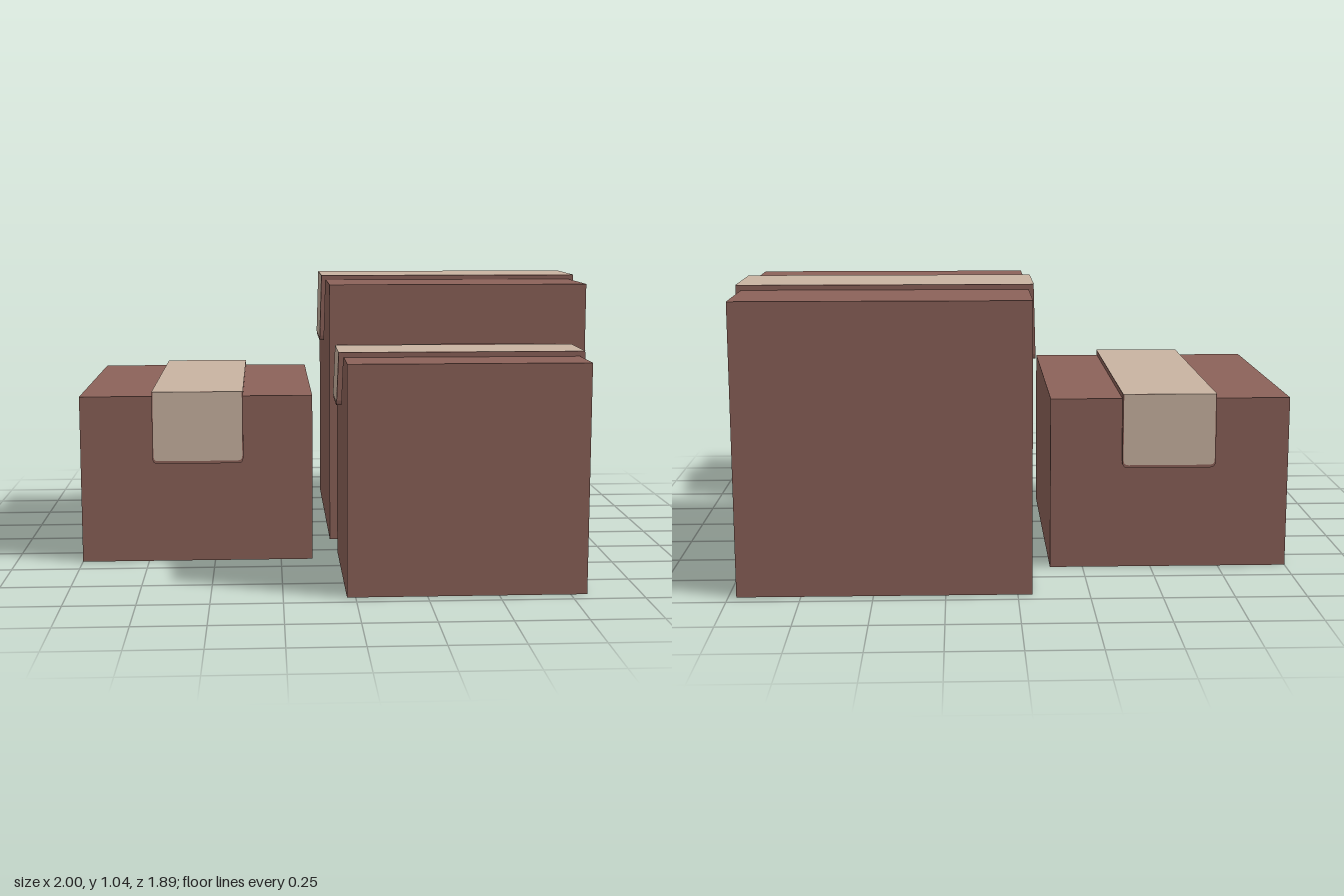
import * as THREE from 'three';

const cardboard = new THREE.MeshStandardMaterial({ color: 0x8c6259 });
cardboard.name = 'cardboard brown';
const tapeTan = new THREE.MeshStandardMaterial({ color: 0xc9b3a1 });
tapeTan.name = 'tape tan';

const T = 0.018; // tape thickness
const FLARE = 0.008; // how far the flap ends stand off

function add(parent, name, geometry, material, x = 0, y = 0, z = 0) {
  const mesh = new THREE.Mesh(geometry, material);
  mesh.name = name;
  mesh.position.set(x, y, z);
  parent.add(mesh);
  return mesh;
}

// Flap outline hanging from y = 0, with rounded lower corners
function flapShape(width, height, r) {
  const w = width / 2;
  const s = new THREE.Shape();
  s.moveTo(-w, 0);
  s.lineTo(-w, r - height);
  s.quadraticCurveTo(-w, -height, r - w, -height);
  s.lineTo(w - r, -height);
  s.quadraticCurveTo(w, -height, w, r - height);
  s.lineTo(w, 0);
  s.closePath();
  return s;
}

// Tape running along x over a box of the given length, origin on the box top
function makeTape(length, width, drop) {
  const tape = new THREE.Group();
  tape.name = 'tape';
  add(tape, 'tapeTopBody', new THREE.BoxGeometry(length + 2 * T, T, width), cardboard, 0, T / 2, 0);
  const top = new THREE.PlaneGeometry(length + 2 * T + 0.002, width).rotateX(-Math.PI / 2);
  add(tape, 'tapeTopFace', top, tapeTan, 0, T + 0.001, 0);

  for (const side of [-1, 1]) {
    const flap = new THREE.Group();
    flap.name = side > 0 ? 'tapeFlapA' : 'tapeFlapB';
    flap.position.set(side * length / 2, T, 0);
    flap.rotation.order = 'YXZ';
    flap.rotation.set(-Math.atan(FLARE / drop), side * Math.PI / 2, 0);
    const body = new THREE.ExtrudeGeometry(flapShape(width, drop, 0.02), {
      depth: T, bevelEnabled: false, curveSegments: 3,
    });
    add(flap, 'tapeFlapBody', body, cardboard);
    const face = new THREE.ShapeGeometry(flapShape(width - 0.008, drop - 0.01, 0.018), 3);
    add(flap, 'tapeFlapFace', face, tapeTan, 0, 0, T + 0.001);
    tape.add(flap);
  }
  return tape;
}

// Each box: x, z ranges, height; tape centre and width, drop, direction
const boxes = [
  { name: 'lowBox', x: [-1, -0.13], z: [-0.63, 0.39], h: 0.63, tape: [-0.73, -0.39], drop: 0.27, alongZ: true },
  { name: 'largeBox', x: [-0.05, 0.972], z: [-0.948, 0.07], h: 1.025, tape: [-0.61, -0.273], drop: 0.272 },
  { name: 'smallBox', x: [-0.03, 0.808], z: [0.272, 0.942], h: 0.81, tape: [0.488, 0.735], drop: 0.19 },
];

export function createModel() {
  const model = new THREE.Group();
  model.name = 'cardboardBoxes';
  for (const b of boxes) {
    const group = new THREE.Group();
    group.name = b.name;
    const w = b.x[1] - b.x[0], d = b.z[1] - b.z[0];
    const cx = (b.x[0] + b.x[1]) / 2, cz = (b.z[0] + b.z[1]) / 2;
    add(group, 'boxBody', new THREE.BoxGeometry(w, b.h, d), cardboard, cx, b.h / 2, cz);

    const tape = makeTape(b.alongZ ? d : w, b.tape[1] - b.tape[0], b.drop);
    const mid = (b.tape[0] + b.tape[1]) / 2;
    tape.position.set(b.alongZ ? mid : cx, b.h, b.alongZ ? cz : mid);
    if (b.alongZ) tape.rotation.y = Math.PI / 2;
    group.add(tape);
    model.add(group);
  }
  return model;
}
